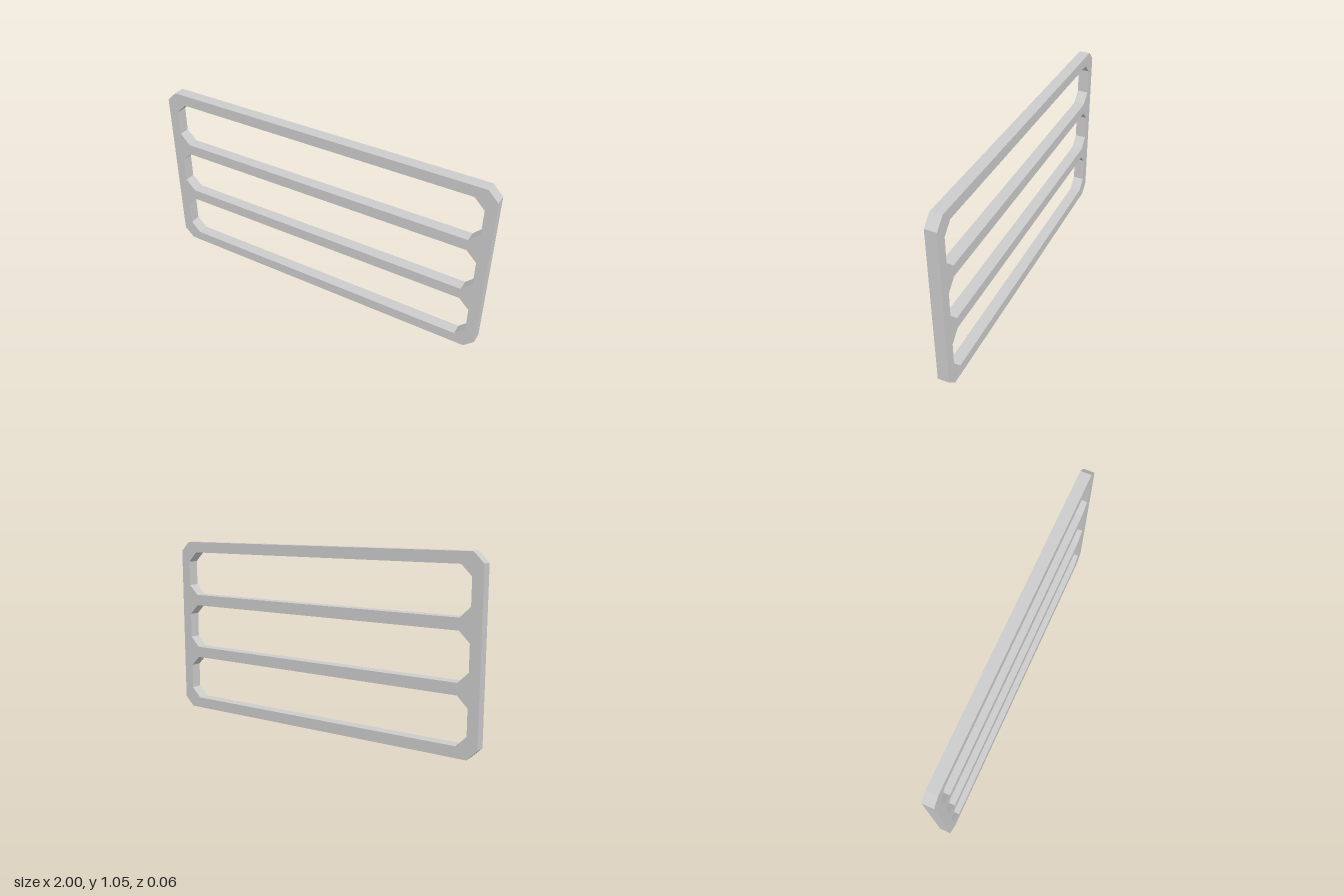
import * as THREE from 'three';

const WIDTH = 2, HEIGHT = 1.048, DEPTH = 0.065;
const OPENING_W = 1.88, OPENING_H = 0.264, PITCH = 0.329;

// Corner points of a chamfered rectangle centred on (0, cy)
function chamferedRect(w, h, cy, c) {
  const x = w / 2, y = h / 2;
  return [
    [-x + c, -y], [x - c, -y], [x, -y + c], [x, y - c],
    [x - c, y], [-x + c, y], [-x, y - c], [-x, -y + c],
  ].map(([px, py]) => new THREE.Vector2(px, py + cy));
}

export function createModel() {
  const group = new THREE.Group();
  group.name = 'slattedPanel';

  // Outer frame with three stacked openings, leaving two crossbars
  const outline = new THREE.Shape(chamferedRect(WIDTH, HEIGHT, HEIGHT / 2, 0.057));
  for (let i = -1; i <= 1; i++) {
    const cy = HEIGHT / 2 + i * PITCH;
    outline.holes.push(new THREE.Path(chamferedRect(OPENING_W, OPENING_H, cy, 0.059)));
  }
  const geometry = new THREE.ExtrudeGeometry(outline, { depth: DEPTH, bevelEnabled: false });
  geometry.translate(0, 0, -DEPTH / 2);

  const frame = new THREE.Mesh(
    geometry,
    new THREE.MeshStandardMaterial({ color: 0xcccccc, flatShading: true })
  );
  frame.name = 'frameWithCrossbars';
  group.add(frame);
  return group;
}
